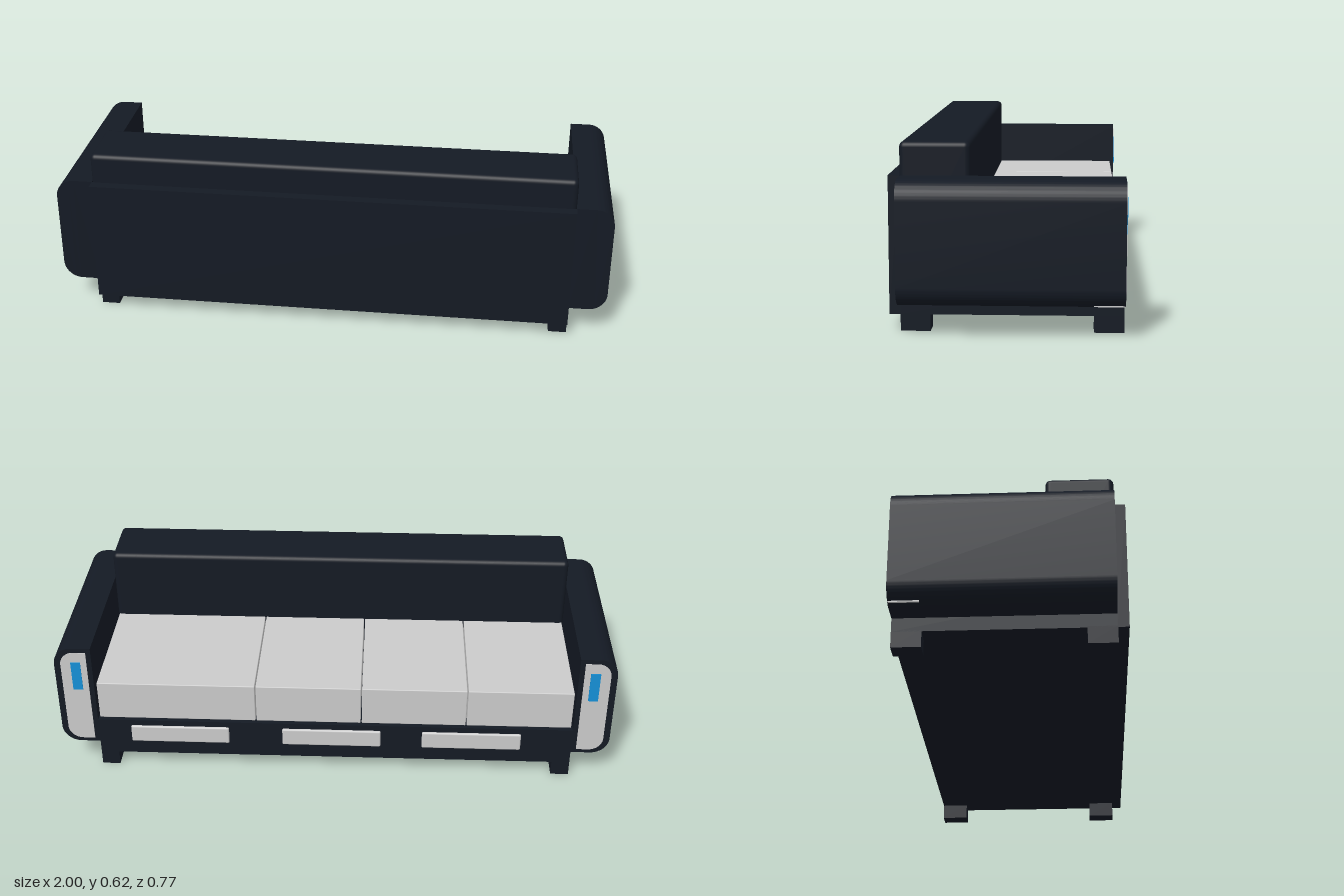
import * as THREE from 'three';
import { RoundedBoxGeometry } from 'three/addons/geometries/RoundedBoxGeometry.js';
import { toCreasedNormals } from 'three/addons/utils/BufferGeometryUtils.js';

const dark = new THREE.MeshStandardMaterial({ color: 0x141a24 });
const grey = new THREE.MeshStandardMaterial({ color: 0xcccccc });
const blue = new THREE.MeshStandardMaterial({ color: 0x1590d8 });

// Box given by its extents on each axis; a radius rounds the edges
function box(name, material, [x0, x1], [y0, y1], [z0, z1], radius = 0) {
  const size = [x1 - x0, y1 - y0, z1 - z0];
  const geometry = radius
    ? new RoundedBoxGeometry(...size, 4, radius)
    : new THREE.BoxGeometry(...size);
  const mesh = new THREE.Mesh(geometry, material);
  mesh.name = name;
  mesh.position.set((x0 + x1) / 2, (y0 + y1) / 2, (z0 + z1) / 2);
  return mesh;
}

// Slab running along z, square on the inner side and rounded on the outer side
function armSlab(name, material, side, [x0, x1], [y0, y1], [z0, z1], r) {
  const shape = new THREE.Shape();
  const a = side > 0 ? x0 : -x0;
  const c = side * (x1 - r);
  const clockwise = side < 0;
  shape.moveTo(a, y0);
  shape.lineTo(c, y0);
  shape.absarc(c, y0 + r, r, -Math.PI / 2, side > 0 ? 0 : -Math.PI, clockwise);
  shape.absarc(c, y1 - r, r, side > 0 ? 0 : Math.PI, Math.PI / 2, clockwise);
  shape.lineTo(a, y1);
  shape.closePath();
  const geometry = new THREE.ExtrudeGeometry(shape, {
    depth: z1 - z0, bevelEnabled: false, curveSegments: 10,
  });
  geometry.translate(0, 0, z0);
  const mesh = new THREE.Mesh(toCreasedNormals(geometry, 0.6), material);
  mesh.name = name;
  return mesh;
}

export function createModel() {
  const sofa = new THREE.Group();
  sofa.name = 'sofa';

  // Base, rear panel and back cushion
  sofa.add(
    box('base', dark, [-0.865, 0.865], [0.055, 0.2], [-0.375, 0.345]),
    box('backPanel', dark, [-0.865, 0.865], [0.055, 0.507], [0.345, 0.383]),
    box('backCushion', dark, [-0.865, 0.865], [0.18, 0.615], [0.12, 0.347], 0.018),
  );

  // Seat cushions, the last one wider
  const seams = [-0.862, -0.48, -0.098, 0.286, 0.862];
  for (let i = 0; i < 4; i++) {
    sofa.add(box('seatCushion', grey, [seams[i] + 0.002, seams[i + 1] - 0.002],
      [0.2, 0.35], [-0.36, 0.14], 0.003));
  }

  // Drawer fronts
  for (const x of [-0.5, 0.01, 0.565]) {
    sofa.add(box('drawerFront', grey, [x - 0.18, x + 0.18], [0.11, 0.178], [-0.383, -0.36], 0.006));
  }

  // Arms with end panels, light strips and legs, mirrored
  for (const side of [1, -1]) {
    const span = (a, b) => (side > 0 ? [a, b] : [-b, -a]);
    const arm = new THREE.Group();
    arm.name = side > 0 ? 'leftArm' : 'rightArm';
    arm.add(
      armSlab('armBody', dark, side, [0.865, 1], [0.103, 0.507], [-0.375, 0.345], 0.065),
      armSlab('armEndPanel', grey, side, [0.883, 0.977], [0.118, 0.49], [-0.377, -0.3], 0.05),
      box('armLight', blue, span(0.905, 0.94), [0.335, 0.45], [-0.38, -0.36]),
      box('armTrim', grey, span(0.94, 0.968), [0.108, 0.114], [-0.374, -0.275]),
    );
    sofa.add(arm);
    for (const z of [[-0.375, -0.277], [0.25, 0.347]]) {
      sofa.add(box('leg', dark, span(0.8, 0.865), [0, 0.06], z));
    }
  }
  return sofa;
}
